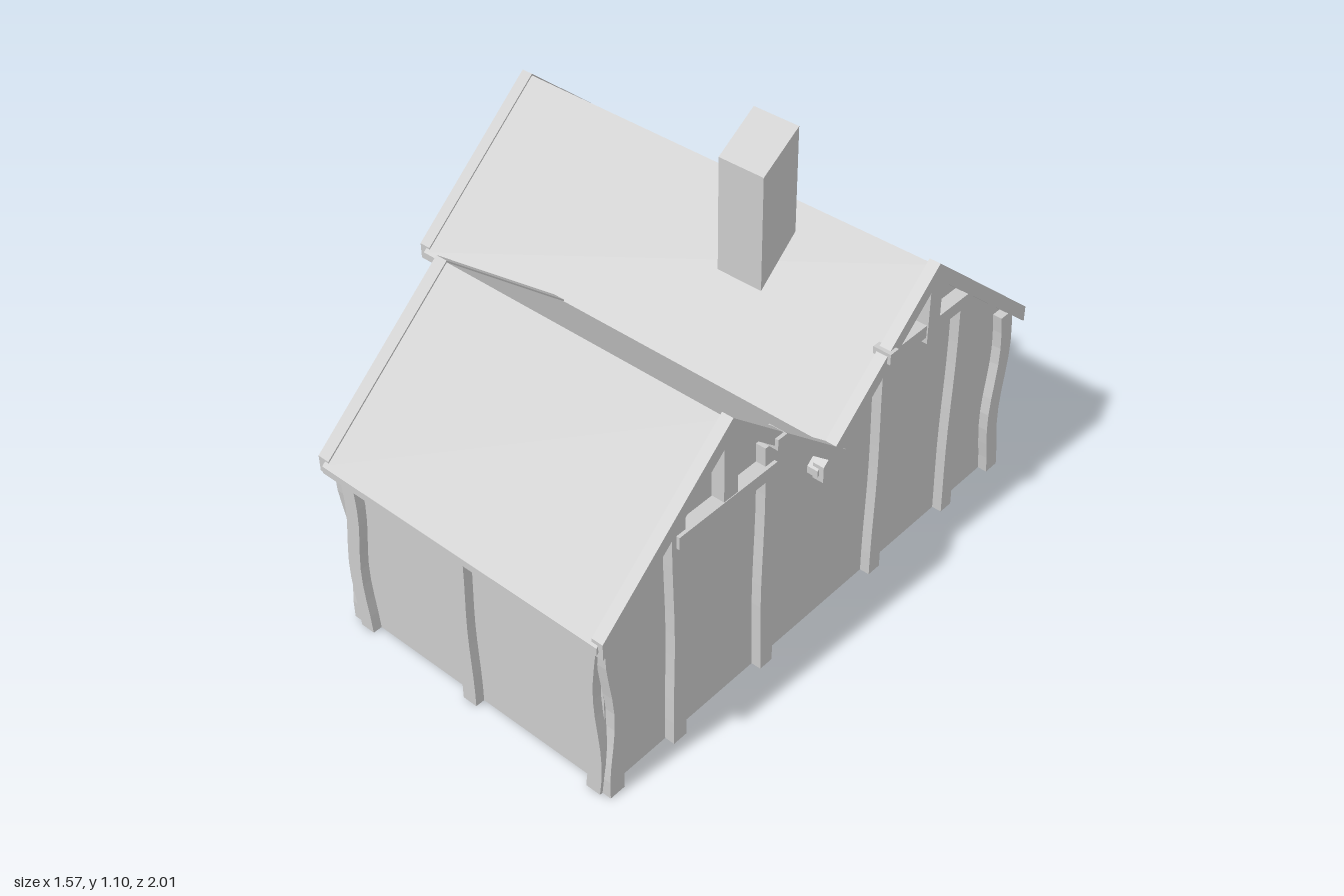
import * as THREE from 'three';

const SLOPE = 0.86, RIDGE = 0.855, WALL_Z = 0.365;

export function createModel() {
  const model = new THREE.Group();
  model.name = 'timberHouse';
  const house = new THREE.Group();
  house.name = 'house';
  house.rotation.y = -0.56; // whole house stands at an angle
  model.add(house);
  const mat = new THREE.MeshStandardMaterial({ color: 0xcccccc, flatShading: true });

  const add = (name, geo, x = 0, y = 0, z = 0) => {
    const m = new THREE.Mesh(geo, mat);
    m.name = name;
    m.position.set(x, y, z);
    house.add(m);
    return m;
  };

  // Profile across the ridge, extruded along x from x0 to x1
  const prism = (name, pts, x0, x1, z) => {
    const shape = new THREE.Shape(pts.map(p => new THREE.Vector2(p[0], p[1])));
    const geo = new THREE.ExtrudeGeometry(shape, { depth: x1 - x0, bevelEnabled: false });
    geo.rotateY(Math.PI / 2);
    return add(name, geo, x0, 0, z);
  };

  // Inverted V with constant vertical thickness
  const chevron = (name, half, top, t, x0, x1, z) => {
    const e = top - half * SLOPE;
    prism(name, [[-half, e - t], [0, top - t], [half, e - t], [half, e], [0, top], [-half, e]], x0, x1, z);
  };

  // Upright timber, gently bent by a sine rule
  const post = (name, x, z, y0, y1, w, d, bend = 0, phase = 0) => {
    const h = y1 - y0;
    const geo = new THREE.BoxGeometry(w, h, d, 1, bend ? 10 : 1, 1);
    const p = geo.attributes.position;
    for (let i = 0; i < p.count; i++) {
      const s = bend * Math.sin((p.getY(i) / h + 0.5) * Math.PI * 2.4 + phase);
      if (w < d) p.setZ(i, p.getZ(i) + s);
      else p.setX(i, p.getX(i) + s);
    }
    geo.computeVertexNormals();
    return add(name, geo, x, y0 + h / 2, z);
  };

  const wings = [
    { name: 'rear', z: -0.27, x0: -0.775, x1: 0.46, r0: -0.815, tieY: 0.68 },
    { name: 'front', z: 0.455, x0: -0.335, x1: 0.46, r0: -0.365, tieY: 0.62 },
  ];

  for (const w of wings) {
    // Gabled walls
    const eave = RIDGE - 0.03 - WALL_Z * SLOPE;
    prism(w.name + 'Walls', [[-WALL_Z, 0.005], [WALL_Z, 0.005], [WALL_Z, eave], [0, RIDGE - 0.03], [-WALL_Z, eave]], w.x0, w.x1, w.z);

    // Roof slab and barge boards
    chevron(w.name + 'Roof', 0.41, RIDGE, 0.02, w.r0, 0.49, w.z);
    chevron(w.name + 'BargeBoardRight', 0.405, RIDGE + 0.01, 0.045, 0.472, 0.503, w.z);
    chevron(w.name + 'BargeBoardLeft', 0.4, RIDGE + 0.005, 0.045, w.r0 - 0.022, w.r0 + 0.012, w.z);

    // Gable timbers at both ends
    for (const [side, x, out] of [['Right', w.x1, 1], ['Left', w.x0, -1]]) {
      const px = x + out * 0.012;
      for (const s of [-1, 1]) {
        post(w.name + 'GablePost' + side, px, w.z + s * 0.15, 0.005, 0.69, 0.03, 0.042, 0.003, s);
        // Only outer corners carry a bent corner post
        const outer = w.name === 'front' ? s > 0 : s < 0;
        if (outer || out < 0) {
          post(w.name + 'CornerPost' + side, px, w.z + s * (WALL_Z - 0.016), 0.005, 0.515, 0.028, 0.045, 0.011, s * 1.2);
        }
      }
      post(w.name + 'KingPost' + side, x + out * 0.022, w.z, 0.645, 0.83, 0.035, 0.045);
      const wide = out < 0;
      add(w.name + 'TieBeam' + side, new THREE.BoxGeometry(0.04, 0.035, wide ? 0.72 : 0.32),
        x + out * 0.016, wide ? 0.515 : w.tieY, w.z);
    }
  }

  // Posts on the long walls
  const rearZ = -0.27 - WALL_Z - 0.01, frontZ = 0.455 + WALL_Z + 0.01;
  [0.44, 0.04, -0.36, -0.755].forEach((x, i) => {
    const corner = i % 3 === 0;
    post('rearWallPost', x, rearZ, 0.005, 0.5, 0.042, 0.03, corner ? 0.011 : 0.003, i + 2);
  });
  [0.44, 0.045, -0.315].forEach((x, i) => {
    post('frontWallPost', x, frontZ, 0.005, 0.5, 0.042, 0.03, i === 1 ? 0.003 : 0.009, i);
  });
  for (const x of [-0.755, -0.4]) {
    post('innerWallPost', x, -0.27 + WALL_Z + 0.01, 0.005, 0.5, 0.042, 0.03, 0.004);
  }

  // Purlin ends poking through the roof edge
  for (const [z, y] of [[0.3, 0.695], [-0.1, 0.69]]) {
    add('purlinEnd', new THREE.BoxGeometry(0.05, 0.03, 0.03), 0.487, y + 0.01, z);
  }

  // Chimney with sloping top
  prism('chimney', [[-0.062, 0.6], [0.062, 0.6], [0.062, 1.1], [-0.062, 1.02]], -0.01, 0.125, -0.155);

  return model;
}
